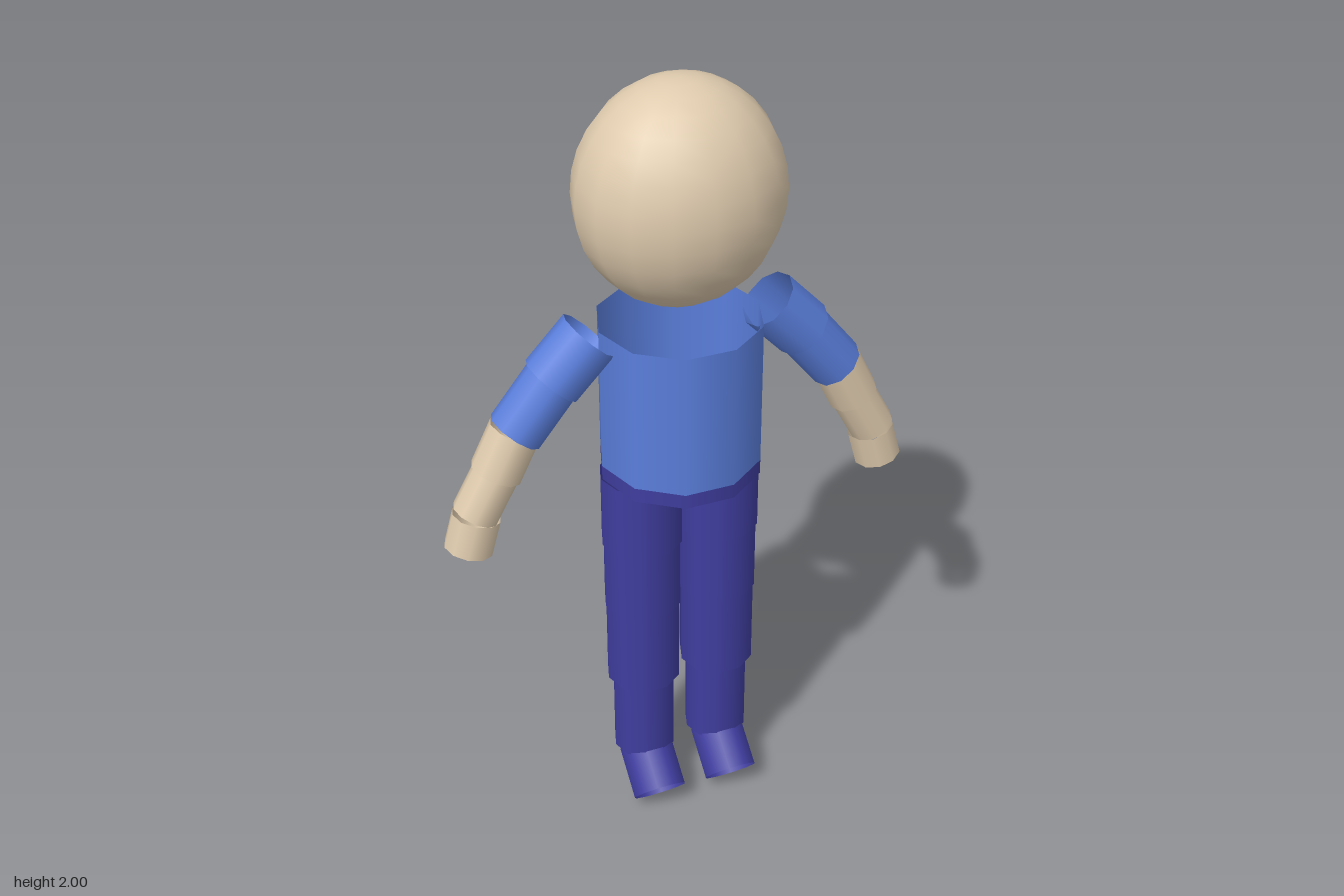
import * as THREE from 'three';

const mat = (name, color) => {
  const m = new THREE.MeshStandardMaterial({ color, side: THREE.DoubleSide });
  m.name = name;
  return m;
};

// Open ten-sided sleeve running between two points
function tube(name, from, to, radius, material) {
  const a = new THREE.Vector3(...from), b = new THREE.Vector3(...to);
  const axis = a.clone().sub(b);
  const geo = new THREE.CylinderGeometry(radius, radius, axis.length(), 10, 1, true, Math.PI / 2);
  const mesh = new THREE.Mesh(geo, material);
  mesh.name = name;
  mesh.position.copy(a).add(b).multiplyScalar(0.5);
  mesh.quaternion.setFromUnitVectors(new THREE.Vector3(0, 1, 0), axis.normalize());
  return mesh;
}

export function createModel() {
  const skin = mat('skin', 0xdfcbae);
  const shirt = mat('shirtBlue', 0x5a7edb);
  const trousers = mat('trouserIndigo', 0x3f3d9e);
  const model = new THREE.Group();
  model.name = 'figure';

  // Egg-shaped head
  const head = new THREE.Mesh(new THREE.SphereGeometry(1, 16, 16), skin);
  head.name = 'head';
  head.scale.set(0.248, 0.27, 0.215);
  head.position.y = 1.73;
  model.add(head);

  // Hollow torso with a waistband
  model.add(tube('torso', [0, 1.41, 0], [0, 1.042, 0], 0.199, shirt));
  model.add(tube('waistband', [0, 1.042, 0], [0, 1.005, 0], 0.199, trousers));

  for (const s of [1, -1]) {
    const side = s > 0 ? 'left' : 'right';

    // Arm: name, start, end (x, y), radius, material
    const arm = new THREE.Group();
    arm.name = side + 'Arm';
    for (const [name, a, b, r, m] of [
      ['shoulderSleeve', [0.223, 1.408], [0.318, 1.308], 0.075, shirt],
      ['lowerSleeve', [0.315, 1.311], [0.41, 1.192], 0.068, shirt],
      ['upperForearm', [0.41, 1.197], [0.462, 1.092], 0.063, skin],
      ['lowerForearm', [0.46, 1.095], [0.519, 0.988], 0.057, skin],
      ['hand', [0.515, 0.985], [0.54, 0.896], 0.06, skin],
    ]) arm.add(tube(name, [a[0] * s, a[1], 0], [b[0] * s, b[1], 0], r, m));
    model.add(arm);

    // Leg: name, top, bottom, radius
    const leg = new THREE.Group();
    leg.name = side + 'Leg';
    for (const [name, top, bottom, r] of [
      ['upperThigh', 1.005, 0.81, 0.102],
      ['lowerThigh', 0.81, 0.62, 0.098],
      ['knee', 0.62, 0.385, 0.095],
      ['shin', 0.385, 0.15, 0.08],
    ]) leg.add(tube(name, [0.101 * s, top, 0], [0.101 * s, bottom, 0], r, trousers));

    // Foot tilts forward and down
    leg.add(tube('foot', [0.101 * s, 0.137, 0.008], [0.101 * s, 0.053, 0.111], 0.071, trousers));
    model.add(leg);
  }
  return model;
}
